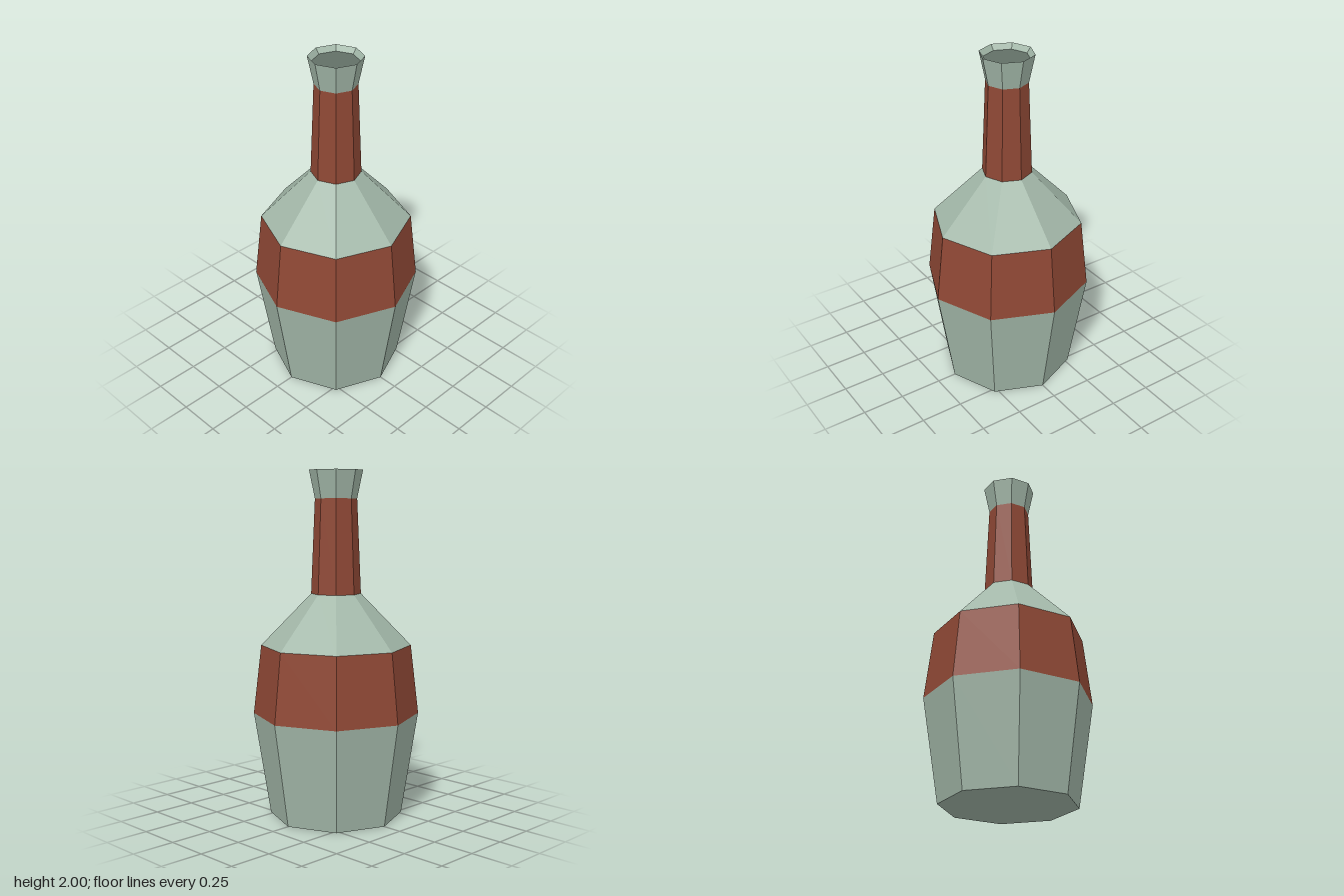
import * as THREE from 'three';

const SIDES = 8;
const material = (color) => new THREE.MeshStandardMaterial({ color, flatShading: true });

// One octagonal band of the bottle, turned from [radius, height] pairs
function band(name, profile, mat) {
  const points = profile.map(([r, y]) => new THREE.Vector2(r, y));
  const mesh = new THREE.Mesh(new THREE.LatheGeometry(points, SIDES), mat);
  mesh.name = name;
  return mesh;
}

// Flat octagonal disc facing up (or down)
function disc(name, radius, y, mat, down = false) {
  const geometry = new THREE.CircleGeometry(radius, SIDES);
  geometry.rotateX(down ? Math.PI / 2 : -Math.PI / 2);
  const mesh = new THREE.Mesh(geometry, mat);
  mesh.position.y = y;
  mesh.name = name;
  return mesh;
}

export function createModel() {
  const group = new THREE.Group();
  group.name = 'bottle';
  const glass = material(0xa3b8a9);
  const label = material(0x8f4835);
  const dark = material(0x627067);

  group.add(
    // Body
    disc('base', 0.385, 0, glass, true),
    band('lowerBody', [[0.385, 0], [0.48, 0.6]], glass),
    band('bodyLabel', [[0.48, 0.6], [0.433, 1]], label),
    band('shoulder', [[0.433, 1], [0.143, 1.3]], glass),
    // Neck
    band('neckWrap', [[0.143, 1.3], [0.12, 1.84]], label),
    // Flared lip with a shallow recessed mouth
    band('lip', [[0.12, 1.84], [0.153, 2], [0.13, 1.97]], glass),
    disc('mouth', 0.13, 1.97, dark)
  );
  return group;
}
